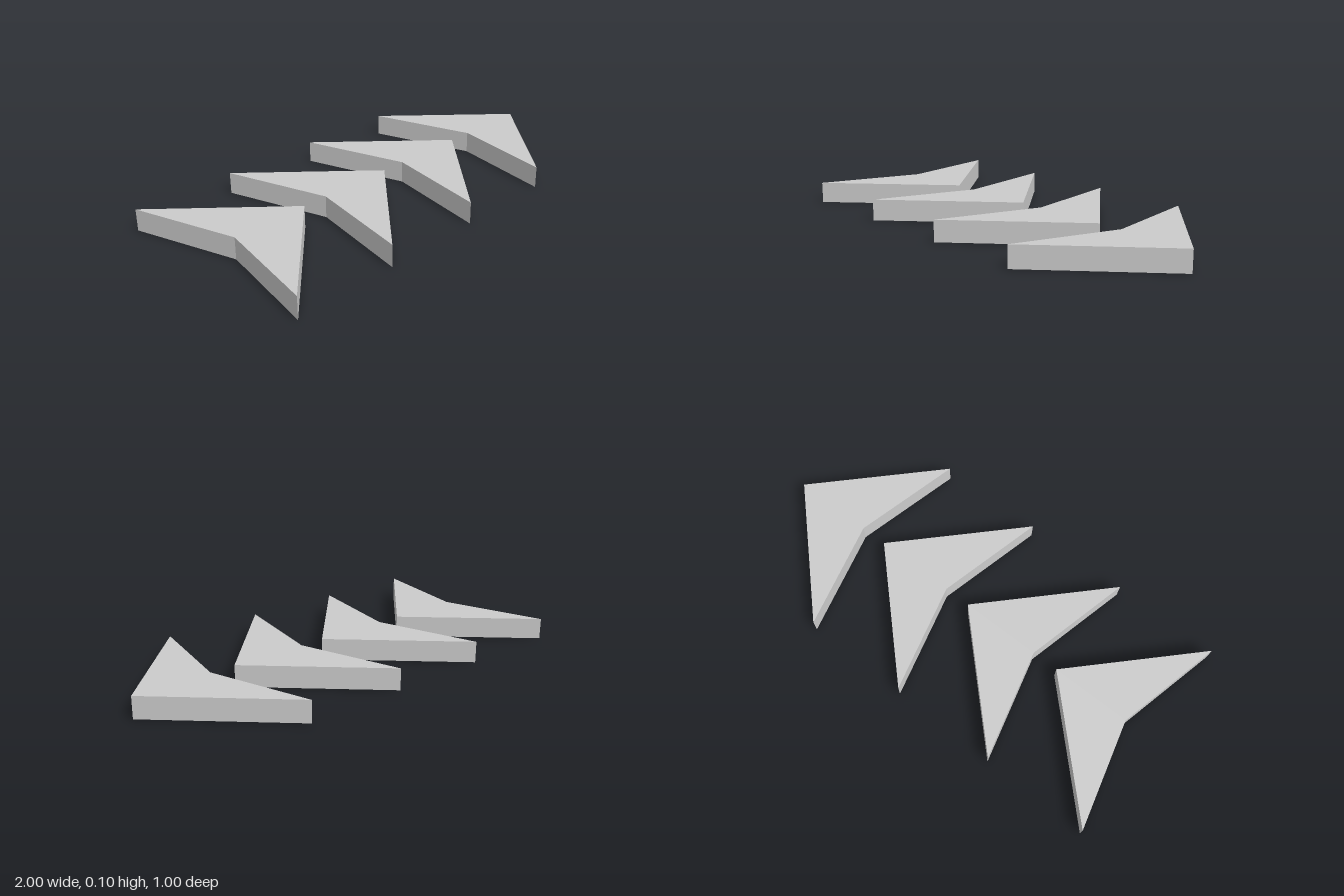
import * as THREE from 'three';

const COUNT = 4;
const SPACING = 0.5;
const HEIGHT = 0.1;

export function createModel() {
  const group = new THREE.Group();
  group.name = 'arrowheadRow';
  const material = new THREE.MeshStandardMaterial({ color: 0xcccccc, flatShading: true });

  // Notched arrowhead outline pointing to +x, laid flat after extrusion
  const outline = new THREE.Shape([
    new THREE.Vector2(0, -0.5),
    new THREE.Vector2(0.5, 0),
    new THREE.Vector2(0, 0.5),
    new THREE.Vector2(0.125, 0),
  ]);
  const geometry = new THREE.ExtrudeGeometry(outline, { depth: HEIGHT, bevelEnabled: false });
  geometry.rotateX(-Math.PI / 2);

  // Row of identical arrowheads along x
  for (let i = 0; i < COUNT; i++) {
    const arrowhead = new THREE.Mesh(geometry, material);
    arrowhead.name = `arrowhead${i + 1}`;
    arrowhead.position.x = -1 + i * SPACING;
    group.add(arrowhead);
  }
  return group;
}
